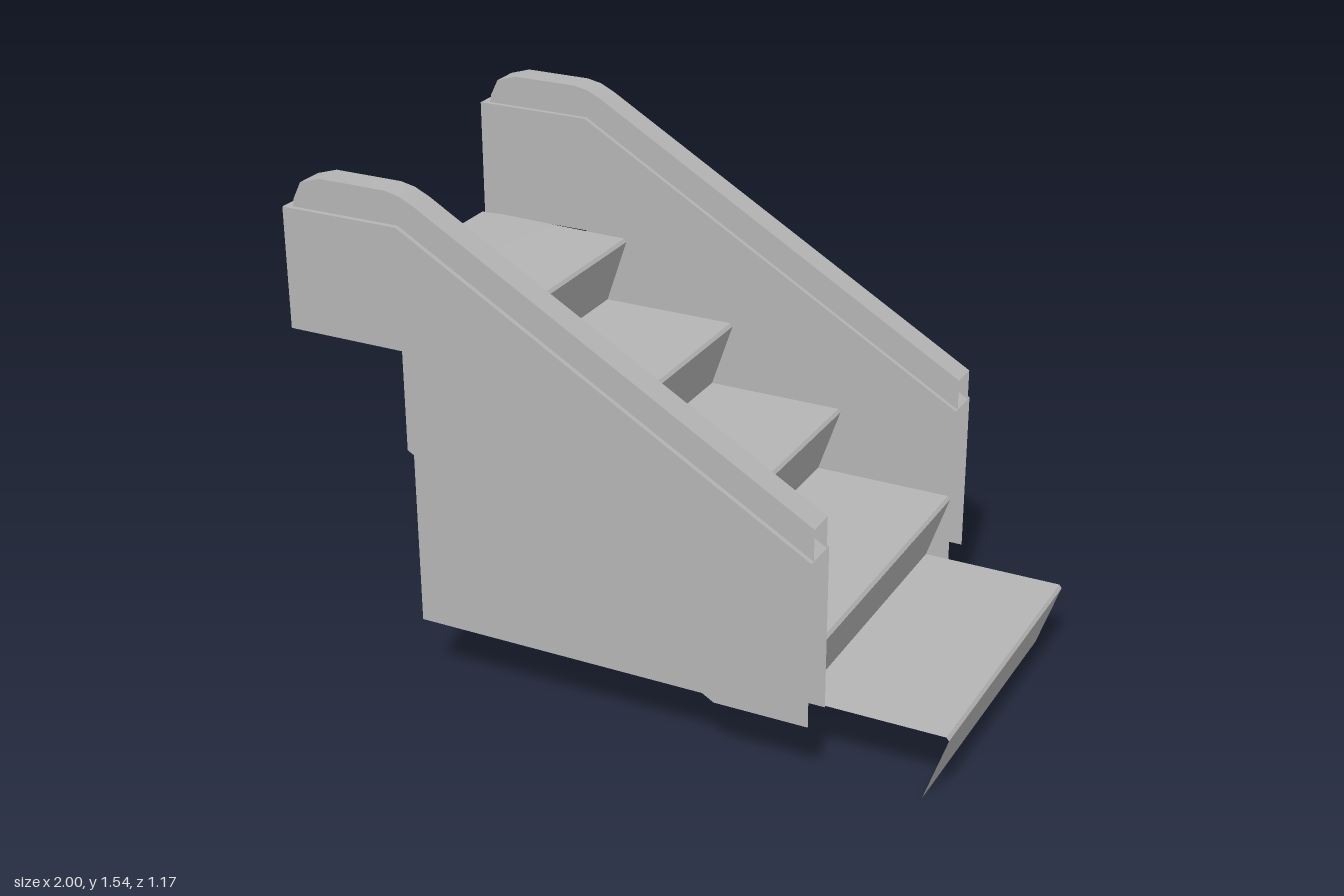
import * as THREE from 'three';
import { toCreasedNormals } from 'three/addons/utils/BufferGeometryUtils.js';

const grey = new THREE.MeshStandardMaterial({ color: 0xb4b4b4, side: THREE.DoubleSide });
grey.name = 'plain grey';

// Thin sheet that follows an x-y profile and spans z0 to z1
function ribbon(name, points, z0, z1, crease = 0.1) {
  const n = points.length;
  const geo = new THREE.PlaneGeometry(1, 1, n - 1, 1);
  const pos = geo.attributes.position;
  points.forEach(([x, y], i) => {
    pos.setXYZ(i, x, y, z0);
    pos.setXYZ(i + n, x, y, z1);
  });
  const mesh = new THREE.Mesh(toCreasedNormals(geo, crease), grey);
  mesh.name = name;
  return mesh;
}

// Flat sheet with an x-y outline at depth z
function sheet(name, points, z) {
  const shape = new THREE.Shape(points.map(([x, y]) => new THREE.Vector2(x, y)));
  const mesh = new THREE.Mesh(new THREE.ShapeGeometry(shape), grey);
  mesh.position.z = z;
  mesh.name = name;
  return mesh;
}

export function createModel() {
  const group = new THREE.Group();
  group.name = 'escalatorSection';

  // Steps: raked risers, small bevelled noses and level treads in one folded sheet
  const steps = [];
  for (let i = 0; i < 5; i++) {
    const nose = 0.995 - i * 0.3685, top = (i + 1) * 0.215;
    steps.push([nose - 0.07, top - 0.215], [nose, top - 0.01], [nose - 0.008, top]);
  }
  steps.push([-0.925, 1.083], [-1, 1.08]);
  group.add(ribbon('steps', steps, 0.47, -0.47));

  // Balustrade outlines
  const top = [[0.63, 0.715], [-0.62, 1.445], [-0.99, 1.445], [-0.99, 1.08]];
  const slope = [[-0.62, 0.775], [0.345, 0.21]];
  const panel = [...top, [-0.62, 1.08], ...slope, [0.63, 0.21]];
  const rail = [[-0.965, 1.445], [-0.96, 1.47], [-0.935, 1.52], [-0.87, 1.54],
    [-0.66, 1.54], [-0.615, 1.531], [-0.57, 1.51], [0.63, 0.81]];
  const railSide = [...rail, [0.63, 0.715], [-0.62, 1.445]];

  for (const s of [1, -1]) {
    const side = new THREE.Group();
    side.name = s > 0 ? 'frontBalustrade' : 'backBalustrade';
    // Hollow panel, open below, with a closed top and upper end
    side.add(sheet('outerPanel', panel, s * 0.585));
    side.add(sheet('innerPanel', panel, s * 0.47));
    side.add(ribbon('panelCap', top, s * 0.585, s * 0.47));
    // Recessed lower skirt and the ledge joining it to the panel
    side.add(sheet('lowerSkirt', [...slope, [-0.62, 0.21]], s * 0.555));
    side.add(ribbon('skirtLedge', slope, s * 0.585, s * 0.555));
    // Hollow handrail
    side.add(ribbon('handrailTop', rail, s * 0.57, s * 0.485, 0.7));
    side.add(sheet('handrailOuterSide', railSide, s * 0.57));
    side.add(sheet('handrailInnerSide', railSide, s * 0.485));
    group.add(side);
  }
  return group;
}
